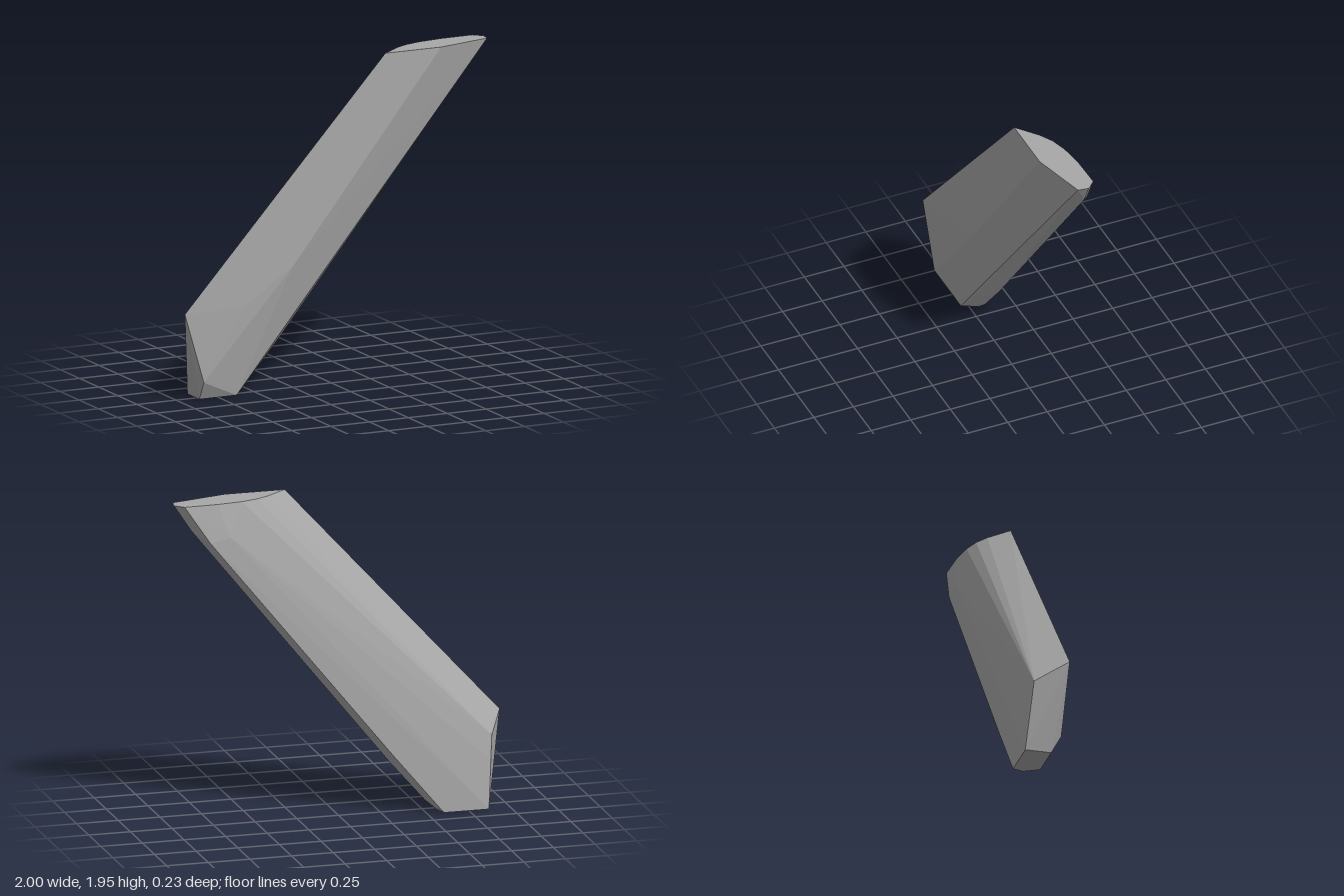
import * as THREE from 'three';
import { ConvexGeometry } from 'three/addons/geometries/ConvexGeometry.js';

// Slanted faceted shard: the convex skin around its corner points.
export function createModel() {
  const group = new THREE.Group();
  group.name = 'slantedShard';
  const grey = new THREE.MeshStandardMaterial({ color: 0xa8a8a8 });
  grey.name = 'stone grey';

  // flat cut top: x, z
  const topY = 1.945;
  const top = [
    [0.29, 0.115], [0.65, 0.115], [0.99, 0.025], [1.0, -0.04], [0.95, -0.09],
    [0.75, -0.085], [0.6, -0.065], [0.5, -0.035], [0.42, 0.01], [0.36, 0.06],
  ].map(([x, z]) => [x, topY, z]);

  // front face and its ridge
  const front = [[-1, 0.53, 0.115], [-0.3, 0.75, 0.115], [-0.63, 0.53, 0.114], [-0.87, 0.11, 0.1]];

  // bevelled lower edge
  const lower = [[0.9, 1.79, -0.055], [-0.3, 0.3, -0.055], [-0.5, 0.07, -0.055]];

  // back strip and the end it runs to
  const back = [
    [0.8, 1.72, -0.115], [0.68, 1.75, -0.11], [-0.3, 0.36, -0.115],
    [-0.9, 0.43, -0.07], [-0.87, 0.3, -0.09],
  ];

  // small flat foot
  const foot = [[-0.87, 0, 0.04], [-0.63, 0, 0.04], [-0.58, 0, -0.05], [-0.6, 0, -0.115], [-0.87, 0, -0.115]];

  const points = [...top, ...front, ...lower, ...back, ...foot].map((p) => new THREE.Vector3(...p));
  const shard = new THREE.Mesh(new ConvexGeometry(points), grey);
  shard.name = 'shard';
  group.add(shard);
  return group;
}
